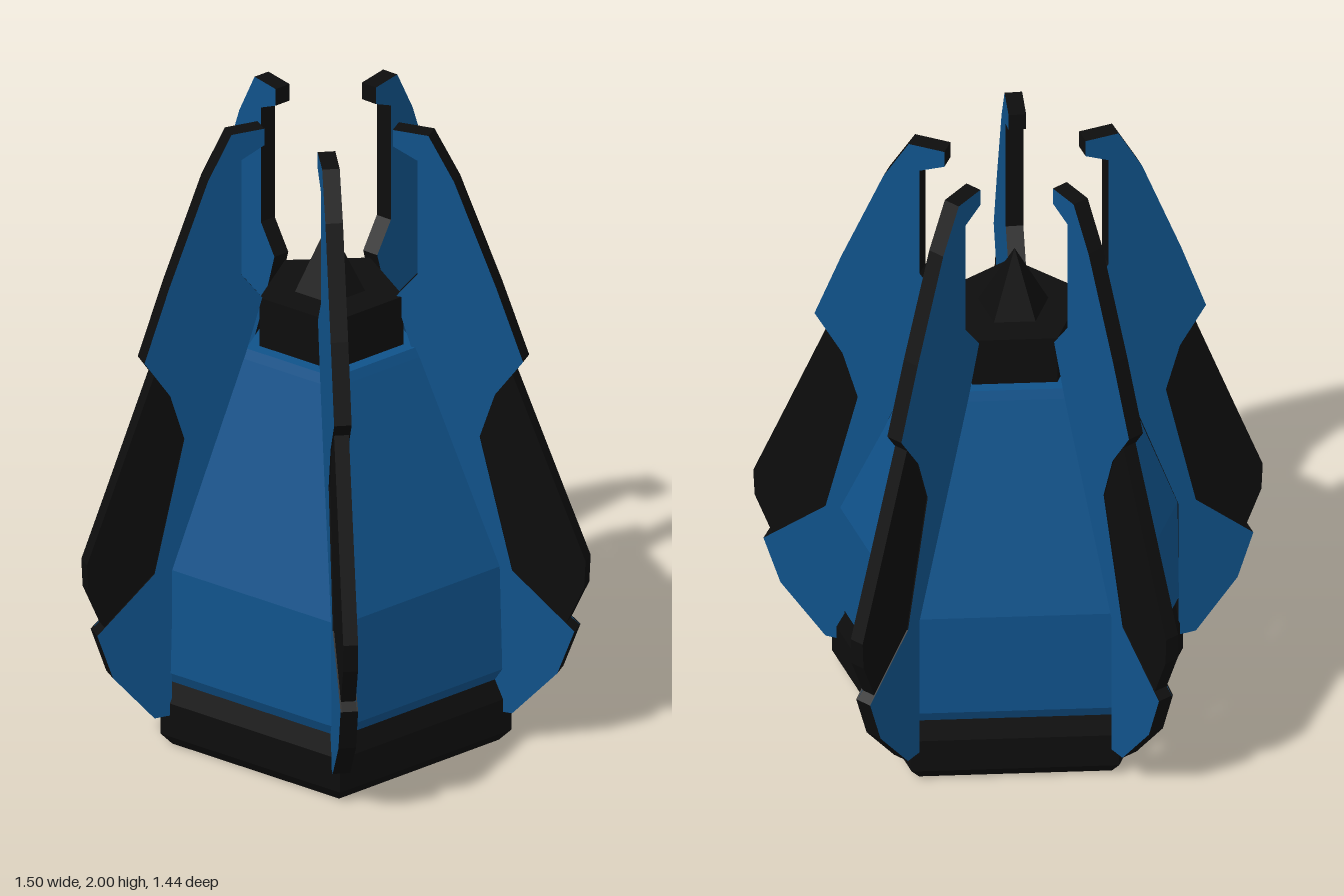
import * as THREE from 'three';

const blue = new THREE.MeshStandardMaterial({ color: 0x10528a });
blue.name = 'blue';
const black = new THREE.MeshStandardMaterial({ color: 0x0d0d0d });
black.name = 'black';

// Pentagon footprint (x, z), flat side to the front, point to the back
const CX = -0.007, CZ = 0.04;
const PENTAGON = [[0.315, 0.5], [0.495, -0.115], [-0.007, -0.463], [-0.51, -0.12], [-0.328, 0.5]];

// Stacks scaled pentagon rings [y, scale] into a closed faceted solid
function pentagonSolid(name, rings, material) {
  const pos = [];
  const at = ([y, s], i) => {
    const [x, z] = PENTAGON[i % 5];
    return [CX + (x - CX) * s, y, CZ + (z - CZ) * s];
  };
  const tri = (a, b, c) => pos.push(...a, ...b, ...c);
  const bottom = rings[0], top = rings[rings.length - 1];
  for (let i = 0; i < 5; i++) {
    for (let k = 0; k < rings.length - 1; k++) {
      const a = at(rings[k], i), b = at(rings[k], i + 1);
      const c = at(rings[k + 1], i + 1), d = at(rings[k + 1], i);
      tri(a, b, c);
      if (rings[k + 1][1] > 0) tri(a, c, d);
    }
    tri(at(bottom, i + 1), at(bottom, i), [CX, bottom[0], CZ]);
    if (top[1] > 0) tri(at(top, i), at(top, i + 1), [CX, top[0], CZ]);
  }
  const g = new THREE.BufferGeometry();
  g.setAttribute('position', new THREE.Float32BufferAttribute(pos, 3));
  g.computeVertexNormals();
  const mesh = new THREE.Mesh(g, material);
  mesh.name = name;
  return mesh;
}

// Fin outlines as (distance out, height); REACH is where the fin starts and ends
const REACH = [0.18, 0.72];
const inner = [[0.462, 0.11], [0.462, 0.59], [0.235, 1.27], [0.186, 1.44], [0.25, 1.53], [0.25, 1.91], [0.18, 1.945], [0.18, 2]];
const upper = [[0.28, 2], [0.352, 1.86], [0.47, 1.53], [0.546, 1.295]];
const lower = [[0.69, 0.42], [0.642, 0.27], [0.515, 0.11]];
const waist = [[0.467, 1.17], [0.424, 1.02], [0.515, 0.59]];
const bulge = [[0.515, 1.245], [0.647, 0.867], [0.72, 0.66], [0.716, 0.57], [0.665, 0.44]];

function slab(points, length, z, depth) {
  const shape = new THREE.Shape(points.map(([d, y]) =>
    new THREE.Vector2((d - REACH[0]) / (REACH[1] - REACH[0]) * length, y)));
  return new THREE.ExtrudeGeometry(shape, { depth, bevelEnabled: false }).translate(0, 0, z);
}

// Black core with a blue plate on each side
function fin(name, [x0, z0], [x1, z1], heightScale) {
  const group = new THREE.Group();
  group.name = name;
  const length = Math.hypot(x1 - x0, z1 - z0);
  const core = new THREE.Mesh(slab([...inner, ...upper, ...bulge, ...lower], length, -0.022, 0.044), black);
  core.name = 'finCore';
  group.add(core);
  for (const z of [-0.026, 0.022]) {
    const plate = new THREE.Mesh(slab([...inner, ...upper, ...waist, ...lower], length, z, 0.004), [blue, black]);
    plate.name = 'finPlate';
    group.add(plate);
  }
  group.position.set(x0, 0, z0);
  group.rotation.y = -Math.atan2(z1 - z0, x1 - x0);
  group.scale.y = heightScale;
  return group;
}

export function createModel() {
  const model = new THREE.Group();
  model.name = 'finnedTower';

  // Central tower
  model.add(
    pentagonSolid('base', [[0, 0.93], [0.04, 1], [0.15, 1], [0.215, 0.95]], black),
    pentagonSolid('body', [[0.21, 0.95], [0.25, 0.995], [0.59, 0.98], [1.24, 0.515], [1.27, 0.49]], blue),
    pentagonSolid('collar', [[1.26, 0.41], [1.43, 0.41]], black),
    pentagonSolid('spire', [[1.43, 0.2], [1.64, 0]], black),
  );

  // One fin on each corner
  model.add(
    fin('backFin', [-0.005, -0.18], [-0.005, -0.72], 1),
    fin('leftFin', [0.2, -0.03], [0.742, -0.17], 1),
    fin('rightFin', [-0.205, -0.03], [-0.745, -0.185], 1),
    fin('frontLeftFin', [0.125, 0.192], [0.44, 0.705], 0.99),
    fin('frontRightFin', [-0.135, 0.192], [-0.45, 0.705], 0.99),
  );
  return model;
}
